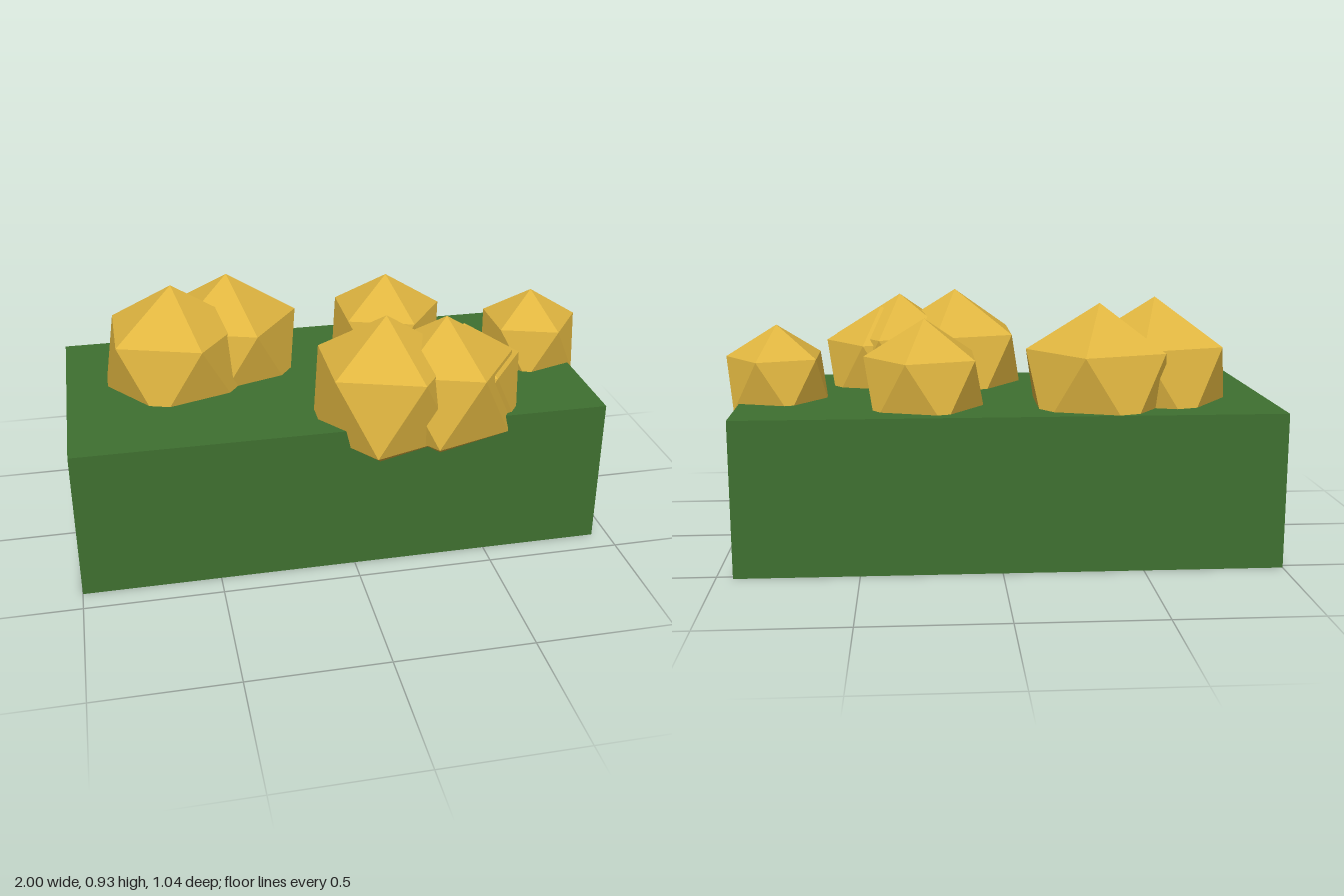
import * as THREE from 'three';

export function createModel() {
  const group = new THREE.Group();
  const green = new THREE.MeshStandardMaterial({ color: 0x3f7030, flatShading: true });
  const gold = new THREE.MeshStandardMaterial({ color: 0xdfb540, flatShading: true });

  // Block: x -1..0.94, y 0..0.56, z -0.52..0.41
  const block = new THREE.Mesh(new THREE.BoxGeometry(1.94, 0.56, 0.935), green);
  block.name = 'hedgeBlock';
  block.position.set(-0.03, 0.28, -0.055);
  group.add(block);

  // Icosahedron turned so one corner points up and its upper ring has a corner on +x
  const ball = new THREE.IcosahedronGeometry(1, 0);
  ball.rotateZ(-Math.atan(2 / (1 + Math.sqrt(5))));

  // Blossoms: top corner x, y, z and radius
  const blossoms = [
    [-0.585, 0.934, -0.158, 0.305],
    [-0.365, 0.923, -0.263, 0.297],
    [0.267, 0.872, -0.268, 0.244],
    [0.81, 0.833, -0.095, 0.209],
    [0.14, 0.926, 0.262, 0.3],
    [0.36, 0.908, 0.268, 0.283],
    [0.434, 0.863, 0.243, 0.241],
  ];
  blossoms.forEach(([x, top, z, r], i) => {
    const mesh = new THREE.Mesh(ball, gold);
    mesh.name = `blossom${i + 1}`;
    mesh.scale.setScalar(r);
    mesh.position.set(x, top - r, z);
    group.add(mesh);
  });

  return group;
}
